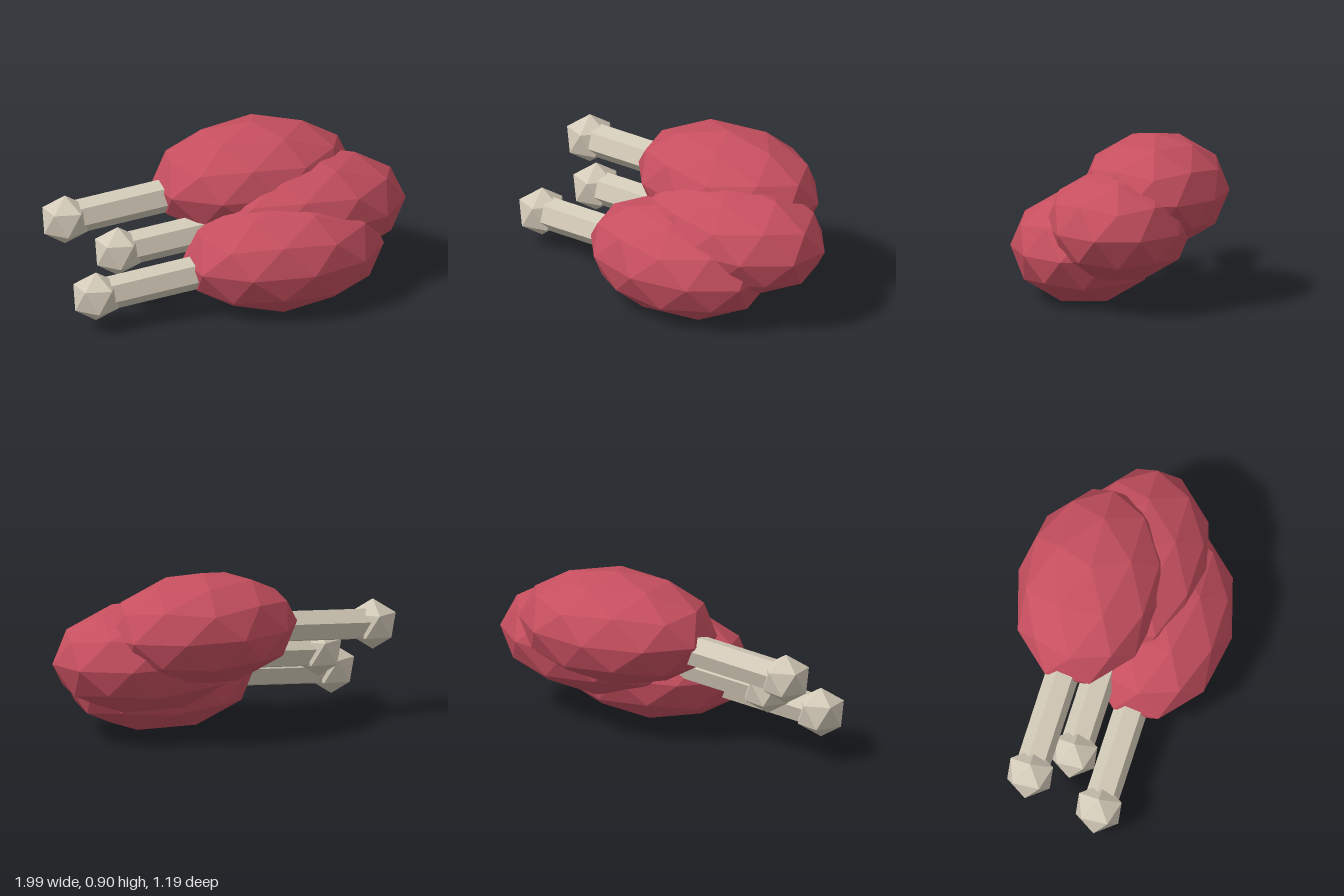
import * as THREE from 'three';

const meatMat = new THREE.MeshStandardMaterial({ color: 0xc64f5f, flatShading: true });
meatMat.name = 'red meat';
const boneMat = new THREE.MeshStandardMaterial({ color: 0xd3cab8, flatShading: true });
boneMat.name = 'bone';

// Icosphere with a vertex at the top pole and an upper ring vertex towards +x
function poleIcosphere(radius, detail) {
  const geo = new THREE.IcosahedronGeometry(radius, detail);
  geo.rotateX(-Math.atan((1 + Math.sqrt(5)) / 2));
  geo.rotateY(Math.PI / 2);
  return geo;
}

// Meat: stretched icosphere, slightly flattened at the bottom pole
function meatGeometry() {
  const geo = poleIcosphere(1, 1);
  const p = geo.attributes.position;
  for (let i = 0; i < p.count; i++) if (p.getY(i) < -0.95) p.setY(i, -0.915);
  geo.scale(0.578, 0.31, 0.405);
  geo.computeVertexNormals();
  return geo;
}

// One drumstick, with its origin at the centre of the meat
function makeDrumstick(name, x, y, z) {
  const group = new THREE.Group();
  group.name = name;

  const meat = new THREE.Mesh(meatGeometry(), meatMat);
  meat.name = 'meat';
  group.add(meat);

  // Knuckle at the far end of the bone
  const knob = new THREE.Mesh(poleIcosphere(0.14, 0), boneMat);
  knob.name = 'boneKnob';
  knob.position.set(-1.095, -0.092, -0.075);
  group.add(knob);

  // Six-sided shaft from the knuckle into the meat
  const dir = knob.position.clone().negate().normalize();
  const start = knob.position.clone().addScaledVector(dir, 0.06);
  const length = 0.75;
  const geo = new THREE.CylinderGeometry(0.092, 0.092, length, 6, 1, false, Math.PI / 18);
  const shaft = new THREE.Mesh(geo, boneMat);
  shaft.name = 'boneShaft';
  shaft.quaternion.setFromUnitVectors(new THREE.Vector3(0, 1, 0), dir);
  shaft.position.copy(start).addScaledVector(dir, length / 2);
  group.add(shaft);

  group.position.set(x, y, z);
  return group;
}

export function createModel() {
  const model = new THREE.Group();
  model.name = 'drumsticks';
  model.add(
    makeDrumstick('frontDrumstick', 0.22, 0.285, 0.19),
    makeDrumstick('middleDrumstick', 0.445, 0.44, 0),
    makeDrumstick('backDrumstick', 0.22, 0.595, -0.193),
  );
  return model;
}
